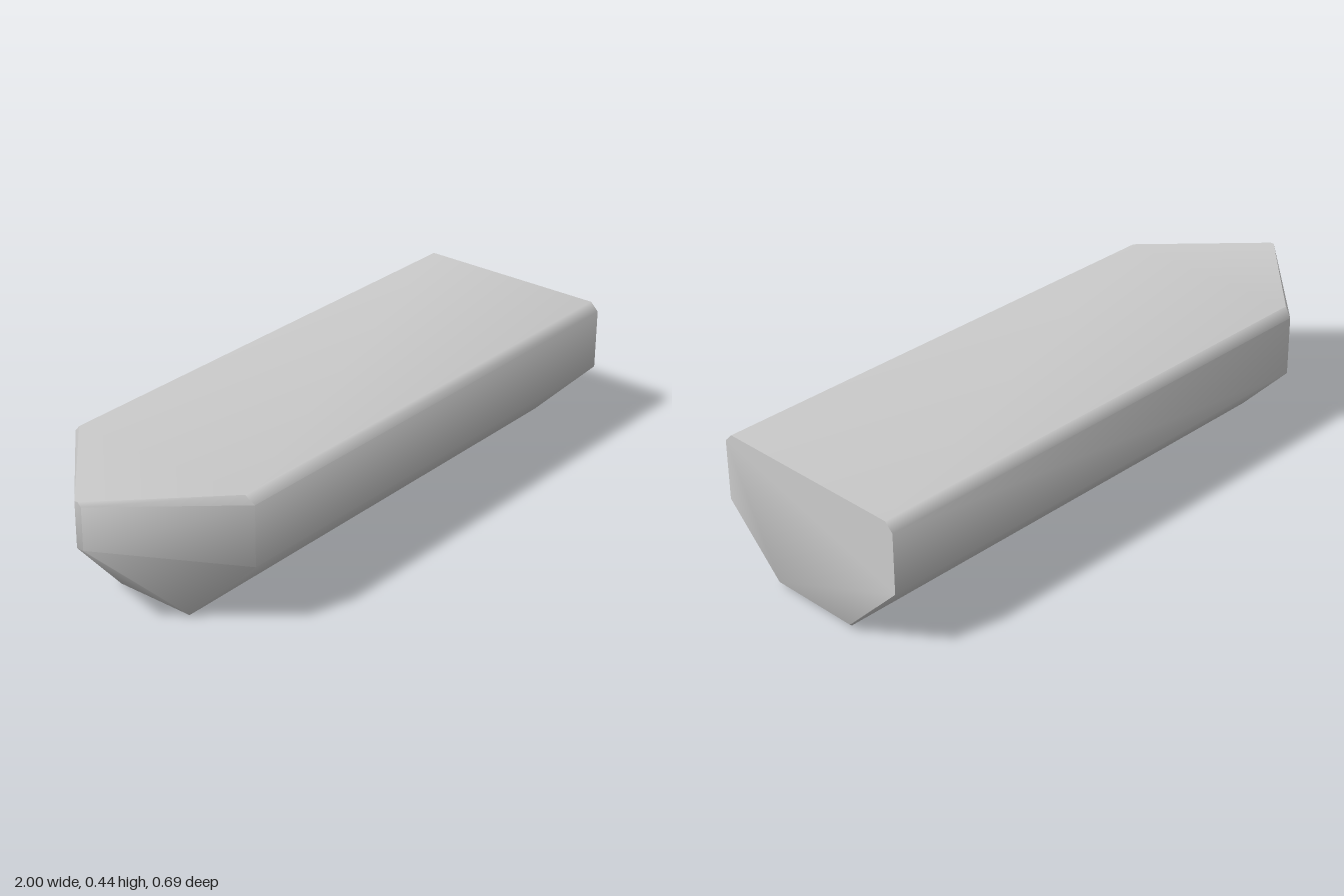
import * as THREE from 'three';
import { ConvexGeometry } from 'three/addons/geometries/ConvexGeometry.js';
import { toCreasedNormals } from 'three/addons/utils/BufferGeometryUtils.js';

export function createModel() {
  const group = new THREE.Group();
  group.name = 'pointedBar';

  // Half outline of the bar: [y, z, x at nose end, x at flat end]
  const outline = [
    [0, 0.135, -0.72, 0.98], // floor edge
    [0.215, 0.345, -0.67, 1], // lower side edge
    [0.41, 0.345, -0.67, 1], // upper side edge
    [0.437, 0.318, -0.68, 1], // top edge
  ];
  const points = [];
  for (const side of [-1, 1]) {
    for (const [y, z, nose, end] of outline) {
      points.push(new THREE.Vector3(nose, y, side * z), new THREE.Vector3(end, y, side * z));
    }
    // Flat end, just above its small floor chamfer
    points.push(new THREE.Vector3(1, 0.02, side * 0.15));
    // Narrow upright tip of the nose
    points.push(new THREE.Vector3(-1, 0.29, side * 0.012), new THREE.Vector3(-1, 0.425, side * 0.012));
  }
  // Top of the tip
  points.push(new THREE.Vector3(-1, 0.437, -0.012), new THREE.Vector3(-1, 0.437, 0));

  // Soft shading over the bevels, sharp at the flat end
  const geometry = toCreasedNormals(new ConvexGeometry(points), THREE.MathUtils.degToRad(48));
  const body = new THREE.Mesh(geometry, new THREE.MeshStandardMaterial({ color: 0xcccccc }));
  body.name = 'body';
  group.add(body);
  return group;
}
